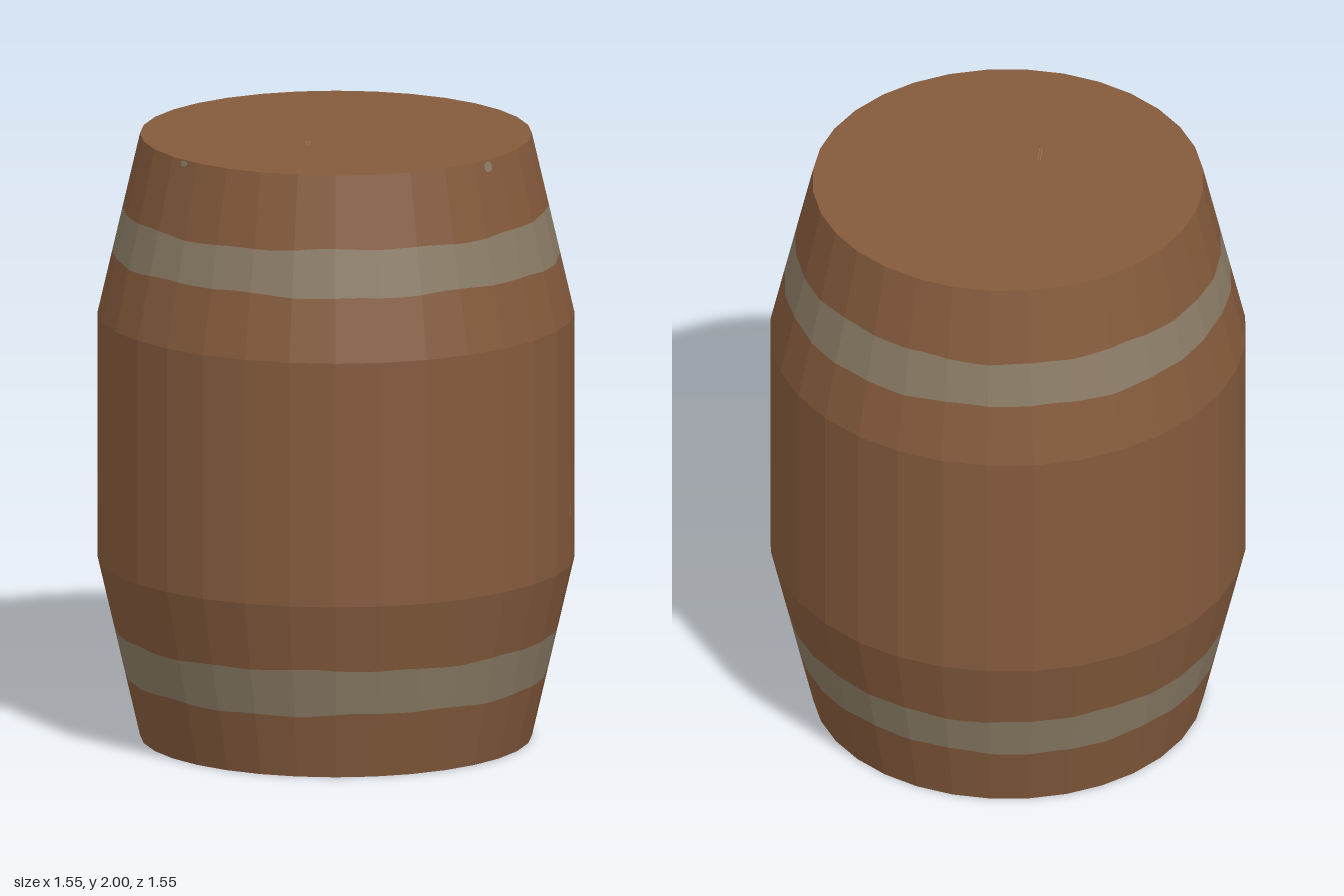
import * as THREE from 'three';

const SIDES = 32, SUB = 3, COLS = SIDES * SUB;
const END_R = 0.636, BELLY_R = 0.774, BELLY_LO = 0.595, BELLY_HI = 1.405, HEIGHT = 2;

// Barrel radius at a given height
function radiusAt(y) {
  if (y < BELLY_LO) return THREE.MathUtils.lerp(END_R, BELLY_R, y / BELLY_LO);
  if (y > BELLY_HI) return THREE.MathUtils.lerp(BELLY_R, END_R, (y - BELLY_HI) / (HEIGHT - BELLY_HI));
  return BELLY_R;
}

// Point on the faceted wall
function wallPoint(col, y) {
  const a = (col / COLS) * Math.PI * 2;
  const step = (Math.PI * 2) / SIDES;
  const off = ((col % SUB) / SUB - 0.5) * step;
  const r = radiusAt(y) * Math.cos(step / 2) / Math.cos(off);
  return [Math.sin(a) * r, y, Math.cos(a) * r];
}

// Flat-faced strip of wall between two edge functions of the angle
function wallStrip(lower, upper) {
  const pos = [];
  for (let i = 0; i < COLS; i++) {
    const a0 = (i / COLS) * Math.PI * 2, a1 = (((i + 1) % COLS) / COLS) * Math.PI * 2;
    const p = wallPoint(i, lower(a0)), q = wallPoint(i + 1, lower(a1));
    const r = wallPoint(i + 1, upper(a1)), s = wallPoint(i, upper(a0));
    pos.push(...p, ...q, ...r, ...p, ...r, ...s);
  }
  const g = new THREE.BufferGeometry();
  g.setAttribute('position', new THREE.Float32BufferAttribute(pos, 3));
  g.computeVertexNormals();
  return g;
}

// Level edge, and a slightly uneven hand-painted edge
const level = (y) => () => y;
const wavy = (y, phase) => (a) =>
  y + 0.006 * Math.sin(a + phase) + 0.004 * Math.sin(5 * a + phase * 2) + 0.003 * Math.sin(13 * a + phase * 3);

export function createModel() {
  const wood = new THREE.MeshStandardMaterial({ color: 0x845a3c });
  wood.name = 'wood';
  const iron = new THREE.MeshStandardMaterial({ color: 0x8a7b65 });
  iron.name = 'hoopGrey';

  const barrel = new THREE.Group();
  barrel.name = 'barrel';
  const add = (name, geometry, material) => {
    const mesh = new THREE.Mesh(geometry, material);
    mesh.name = name;
    barrel.add(mesh);
    return mesh;
  };

  // Staves and flush hoops, from the floor up
  const edges = [
    level(0), wavy(0.213, 0.2), wavy(0.363, 1.1), level(BELLY_LO),
    level(BELLY_HI), wavy(1.608, 2.3), wavy(1.757, 0.7), level(HEIGHT),
  ];
  const names = ['bottomStaves', 'lowerHoop', 'lowerStaves', 'bellyStaves', 'upperStaves', 'upperHoop', 'topStaves'];
  names.forEach((name, i) =>
    add(name, wallStrip(edges[i], edges[i + 1]), name.endsWith('Hoop') ? iron : wood));

  // Heads
  const top = add('topHead', new THREE.CircleGeometry(END_R, SIDES), wood);
  top.rotation.x = -Math.PI / 2;
  top.position.y = HEIGHT;
  const bottom = add('bottomHead', new THREE.CircleGeometry(END_R, SIDES), wood);
  bottom.rotation.x = Math.PI / 2;

  // Small worn flecks lying on the staves: angle in degrees, height, half width, half height
  const flecks = [[50.6, 1.978, 0.02, 0.018], [-50.6, 1.988, 0.016, 0.01], [78.75, 0.78, 0.006, 0.02]];
  for (const [deg, y, w, h] of flecks) {
    const a = THREE.MathUtils.degToRad(deg);
    const fleck = add('wornFleck', new THREE.CircleGeometry(1, 8), iron);
    const r = radiusAt(y) - (y > BELLY_HI ? 0.001 : -0.001);
    fleck.position.set(Math.sin(a) * r, y, Math.cos(a) * r);
    const tilt = y > BELLY_HI ? Math.atan((BELLY_R - END_R) / (HEIGHT - BELLY_HI)) : 0;
    fleck.rotation.set(-tilt, a, 0, 'YXZ');
    fleck.scale.set(w, h, 1);
  }

  // Two fine scratches on the top head
  for (const x of [-0.094, -0.086]) {
    const scratch = add('headScratch', new THREE.PlaneGeometry(0.002, 0.07), iron);
    scratch.rotation.x = -Math.PI / 2;
    scratch.position.set(x, HEIGHT + 0.001, 0.155);
  }
  return barrel;
}
